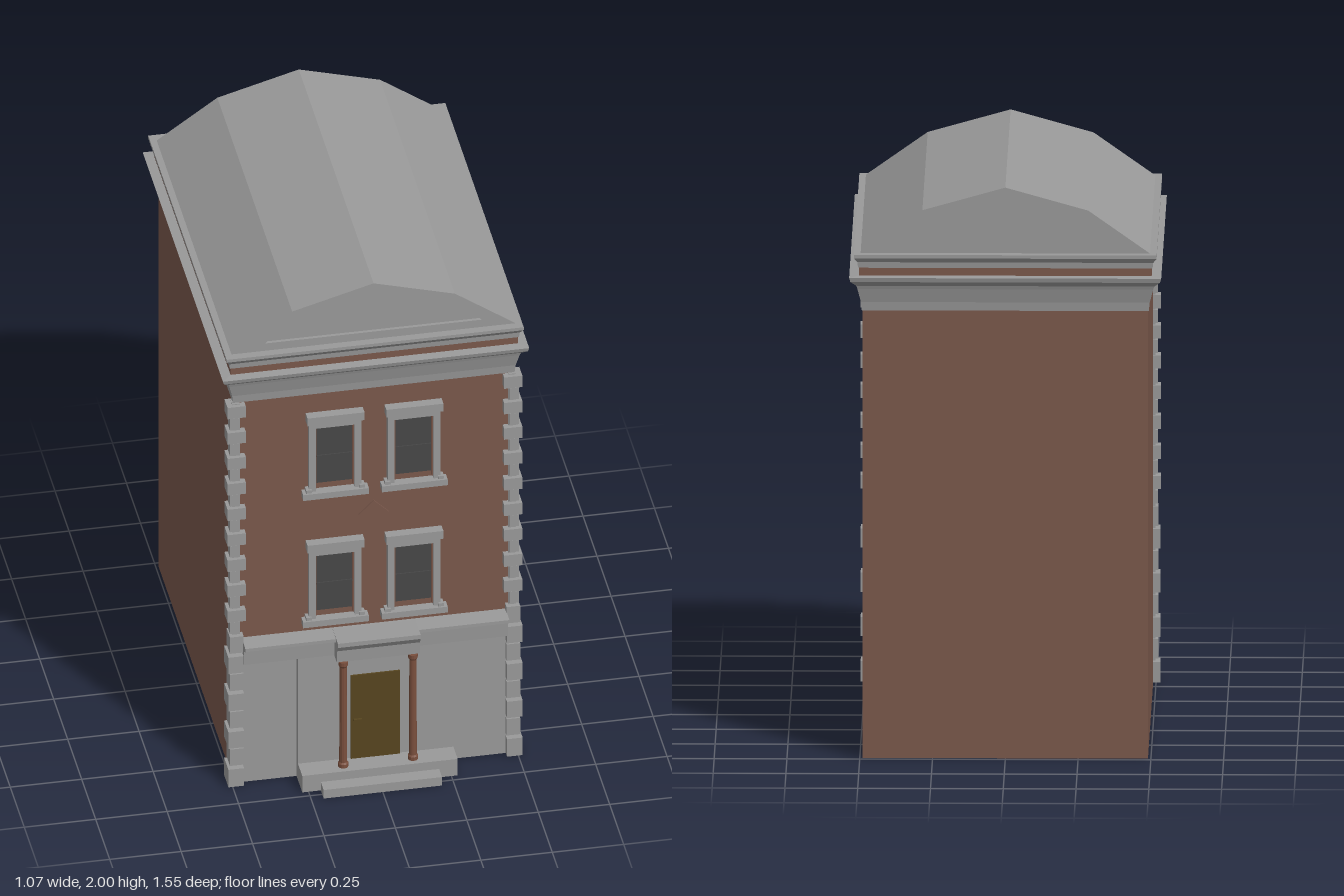
import * as THREE from 'three';

const mat = (name, color) => {
  const m = new THREE.MeshStandardMaterial({ color });
  m.name = name;
  return m;
};

export function createModel() {
  const stone = mat('grey stone', 0x999999);
  const brick = mat('red brick', 0x7a584b);
  const glass = mat('dark glass', 0x474747);
  const wood = mat('door wood', 0x57451f);
  const copper = mat('column brown', 0x7a4f3d);
  const house = new THREE.Group();
  house.name = 'townhouse';

  const add = (name, geo, material, parent = house) => {
    const m = new THREE.Mesh(geo, material);
    m.name = name;
    parent.add(m);
    return m;
  };
  // Box given by its limits on each axis
  const box = (name, material, x0, x1, y0, y1, z0, z1, parent = house) => {
    const g = new THREE.BoxGeometry(x1 - x0, y1 - y0, z1 - z0);
    g.translate((x0 + x1) / 2, (y0 + y1) / 2, (z0 + z1) / 2);
    return add(name, g, material, parent);
  };

  const HX = 0.49, HZ = 0.67, CZ = -0.06, FRONT = 0.61;
  // Rectangular moulding around the house from [overhang, y] points
  const moulding = (name, material, profile) => {
    const pos = [];
    const ring = ([d, y]) => [[1, 1], [1, -1], [-1, -1], [-1, 1]]
      .map(([sx, sz]) => [sx * (HX + d), y, CZ + sz * (HZ + d)]);
    for (let i = 0; i < profile.length - 1; i++) {
      const a = ring(profile[i]), b = ring(profile[i + 1]);
      for (let k = 0; k < 4; k++) {
        const n = (k + 1) % 4;
        pos.push(...a[k], ...a[n], ...b[n], ...a[k], ...b[n], ...b[k]);
      }
    }
    const g = new THREE.BufferGeometry();
    g.setAttribute('position', new THREE.Float32BufferAttribute(pos, 3));
    g.computeVertexNormals();
    return add(name, g, material);
  };
  // Strip with a [z, y] profile running along x
  const strip = (name, material, halfWidth, profile) => {
    const s = new THREE.Shape(profile.map(([z, y]) => new THREE.Vector2(-z, y)));
    const g = new THREE.ExtrudeGeometry(s, { depth: halfWidth * 2, bevelEnabled: false });
    g.rotateY(Math.PI / 2);
    g.translate(-halfWidth, 0, 0);
    return add(name, g, material);
  };

  // Brick body and the stacked cornice
  box('brickBody', brick, -HX, HX, 0, 1.75, CZ - HZ, FRONT);
  moulding('frieze', stone, [[-0.01, 1.57], [0.003, 1.57], [0.006, 1.6], [0.018, 1.648], [0.022, 1.66],
    [0.042, 1.677], [0.046, 1.692], [0.01, 1.695]]);
  moulding('brickBand', brick, [[0.013, 1.69], [0.013, 1.722]]);
  moulding('upperCornice', stone, [[0.005, 1.722], [0.016, 1.722], [0.018, 1.742], [0.03, 1.758],
    [0.03, 1.77], [-0.1, 1.77]]);

  // Faceted roof with a framed front gable
  const gable = (pts) => pts.map(([x, y]) => new THREE.Vector2(x, y));
  const outline = [[-0.5, 1.768], [0.5, 1.768], [0.285, 1.92], [0, 2], [-0.285, 1.92]];
  const extrude = (shape, z0, z1) => {
    const g = new THREE.ExtrudeGeometry(shape, { depth: z1 - z0, bevelEnabled: false });
    g.translate(0, 0, z0);
    return g;
  };
  add('roof', extrude(new THREE.Shape(gable(outline)), -0.725, 0.598), stone);
  const rim = new THREE.Shape(gable(outline));
  rim.holes.push(new THREE.Path(gable([[-0.38, 1.8], [-0.27, 1.895], [0, 1.97], [0.27, 1.895], [0.38, 1.8]])));
  add('gableFrame', extrude(rim, 0.598, 0.61), stone);
  box('roofDeck', stone, -0.51, 0.51, 1.755, 1.769, -0.745, 0.63);

  // Corner quoins, alternating long and short
  for (const s of [-1, 1]) {
    const quoin = (name, xin, xout, y0, y1, z0, z1) =>
      box(name, stone, Math.min(s * xin, s * xout), Math.max(s * xin, s * xout), y0, y1, z0, z1);
    const count = 18, pitch = (1.57 - 0.62) / count;
    quoin('quoinBacking', 0.47, 0.497, 0, 1.57, 0.59, 0.622);
    for (let i = 0; i < count; i++) {
      const y = 0.62 + i * pitch, long = i % 2;
      quoin('upperQuoin', long ? 0.452 : 0.472, long ? 0.516 : 0.506, y + 0.003, y + pitch - 0.003,
        long ? 0.58 : 0.588, long ? 0.636 : 0.628);
    }
    const low = 8, step = 0.62 / low;
    for (let i = 0; i < low; i++) {
      const y = i * step, long = i % 2 === 0;
      quoin('lowerQuoin', 0.46, long ? 0.515 : 0.508, y + (i ? 0.005 : 0), y + step - 0.005,
        long ? 0.57 : 0.578, long ? 0.646 : 0.638);
    }
  }

  // Sash windows with stone surrounds
  for (const x of [-0.138, 0.138]) for (const y of [0.625, 1.153]) {
    const w = new THREE.Group();
    w.name = 'window';
    w.position.set(x, y, 0);
    house.add(w);
    box('sill', stone, -0.115, 0.115, 0, 0.024, 0.6, 0.645, w);
    for (const s of [-1, 1]) {
      box('jamb', stone, s * 0.08 - 0.012, s * 0.08 + 0.012, 0.024, 0.305, 0.6, 0.63, w);
      box('sillBlock', stone, s * 0.093 - 0.01, s * 0.093 + 0.01, 0.02, 0.036, 0.6, 0.638, w);
      box('sashStile', brick, s * 0.066 - 0.003, s * 0.066 + 0.003, 0.03, 0.285, 0.6, 0.62, w);
    }
    box('lintel', stone, -0.092, 0.092, 0.285, 0.31, 0.6, 0.632, w);
    box('windowHead', stone, -0.1, 0.1, 0.308, 0.34, 0.6, 0.645, w);
    box('glassPane', glass, -0.062, 0.062, 0.048, 0.272, 0.608, 0.614, w);
    box('meetingRail', glass, -0.062, 0.062, 0.156, 0.163, 0.61, 0.618, w);
  }

  // Diamond plaque between the floors
  const plaque = add('diamondPlaque', new THREE.BoxGeometry(0.075, 0.075, 0.008), brick);
  plaque.rotation.z = Math.PI / 4;
  plaque.position.set(0, 1.05, FRONT + 0.002);

  // Stone ground floor
  box('groundWall', stone, -0.465, 0.465, 0, 0.52, 0.6, 0.622);
  box('entranceWall', stone, -0.272, 0.272, 0.06, 0.52, 0.6, 0.648);
  strip('groundCornice', stone, 0.462, [[0.6, 0.505], [0.652, 0.505], [0.655, 0.56], [0.678, 0.575],
    [0.678, 0.588], [0.6, 0.592]]);
  strip('porchLintel', stone, 0.145, [[0.62, 0.502], [0.695, 0.502], [0.697, 0.55], [0.714, 0.575],
    [0.714, 0.592], [0.62, 0.592]]);

  // Steps, door and columns
  box('upperStep', stone, -0.272, 0.272, 0, 0.068, 0.6, 0.725);
  box('lowerStep', stone, -0.207, 0.207, 0, 0.035, 0.7, 0.776);
  box('door', wood, -0.088, 0.084, 0.068, 0.412, 0.645, 0.654);
  box('doorHandle', wood, -0.08, -0.05, 0.225, 0.233, 0.65, 0.662);
  const column = [[0, 0.068], [0.018, 0.068], [0.018, 0.082], [0.014, 0.088], [0.0125, 0.48],
    [0.017, 0.488], [0.017, 0.503], [0, 0.503]].map(([r, y]) => new THREE.Vector2(r, y));
  for (const s of [-1, 1]) {
    const c = add('porchColumn', new THREE.LatheGeometry(column, 12).toNonIndexed(), copper);
    c.geometry.computeVertexNormals();
    c.position.set(s * 0.122, 0, 0.69);
  }
  return house;
}
